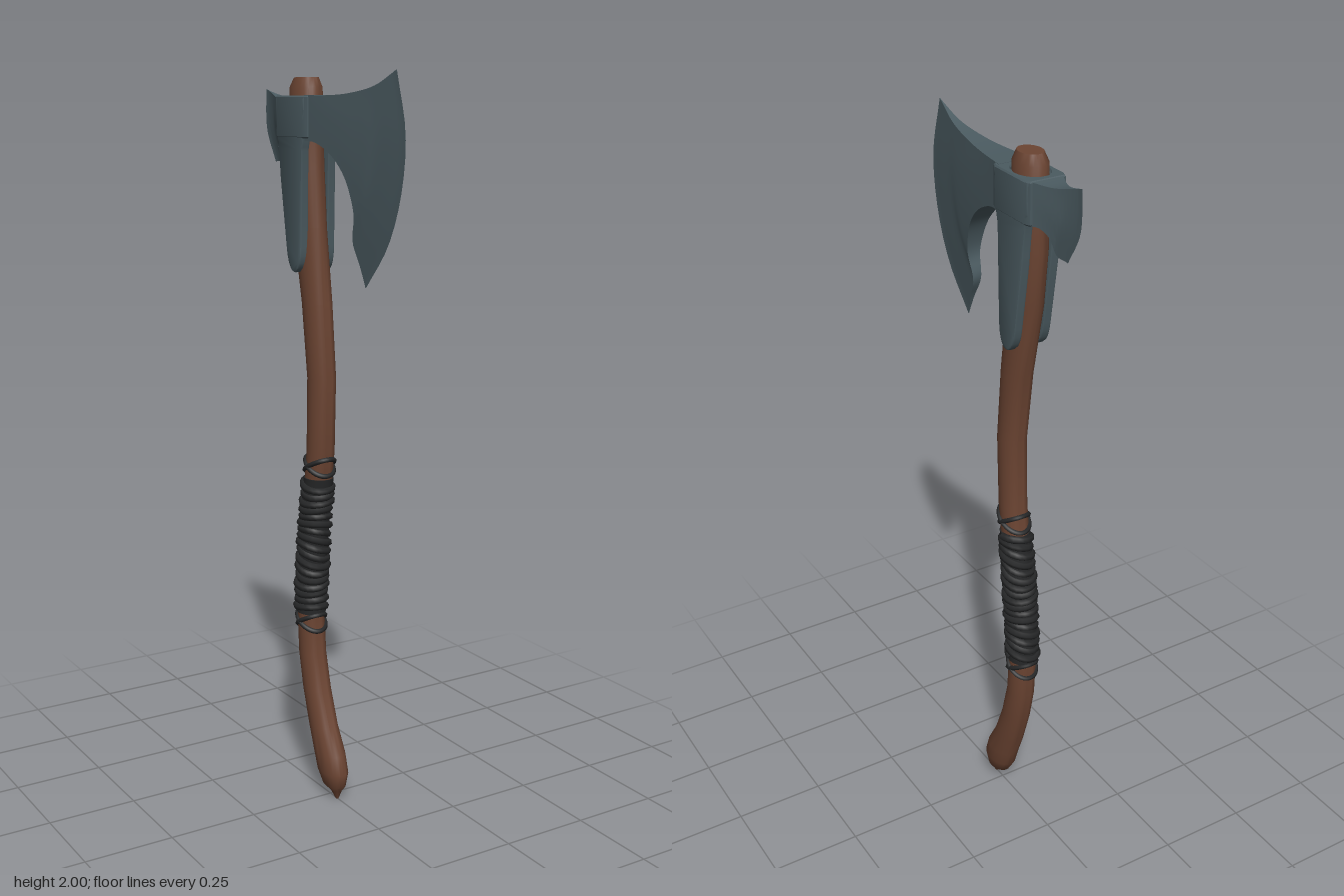
import * as THREE from 'three';
import { toCreasedNormals } from 'three/addons/utils/BufferGeometryUtils.js';

const wood = new THREE.MeshStandardMaterial({ color: 0x6b4432 });
const steel = new THREE.MeshStandardMaterial({ color: 0x4b5b61 });
const leather = new THREE.MeshStandardMaterial({ color: 0x262728 });

// Skin a list of closed rings and cap both ends.
function loft(rings, crease) {
  const pos = [], n = rings[0].length;
  const tri = (...pts) => pts.forEach((p) => pos.push(p.x, p.y, p.z));
  for (let i = 0; i < rings.length - 1; i++) {
    for (let j = 0; j < n; j++) {
      const k = (j + 1) % n, a = rings[i], b = rings[i + 1];
      tri(a[j], b[j], a[k]);
      tri(b[j], b[k], a[k]);
    }
  }
  [rings[0], rings[rings.length - 1]].forEach((r, end) => {
    const c = r.reduce((s, p) => s.add(p), new THREE.Vector3()).divideScalar(n);
    for (let j = 0; j < n; j++) {
      const k = (j + 1) % n;
      if (end) tri(c, r[k], r[j]);
      else tri(c, r[j], r[k]);
    }
  });
  const g = new THREE.BufferGeometry();
  g.setAttribute('position', new THREE.Float32BufferAttribute(pos, 3));
  return toCreasedNormals(g, crease);
}

function add(parent, name, geometry, material) {
  const mesh = new THREE.Mesh(geometry, material);
  mesh.name = name;
  parent.add(mesh);
  return mesh;
}

// Handle sections: y, front z, back z, half width in x.
const SECTIONS = [
  [0, 0.04, 0.03, 0.004], [0.025, 0.05, 0.012, 0.015], [0.04, 0.062, -0.022, 0.028],
  [0.08, 0.07, -0.047, 0.037], [0.13, 0.052, -0.063, 0.039], [0.2, 0.012, -0.09, 0.037],
  [0.3, -0.028, -0.12, 0.037], [0.4, -0.055, -0.14, 0.037], [0.5, -0.064, -0.146, 0.037],
  [0.6, -0.062, -0.144, 0.037], [0.8, -0.042, -0.122, 0.037], [0.92, -0.021, -0.104, 0.037],
  [1.0, -0.01, -0.094, 0.037], [1.2, -0.002, -0.09, 0.037], [1.4, -0.02, -0.118, 0.038],
  [1.6, -0.046, -0.164, 0.039], [1.75, -0.058, -0.18, 0.04], [1.85, -0.066, -0.178, 0.04],
  [1.96, -0.07, -0.175, 0.04], [1.985, -0.082, -0.16, 0.03],
];

function sectionAt(y) {
  const i = Math.max(1, SECTIONS.findIndex((s) => s[0] >= y));
  const a = SECTIONS[i - 1], b = SECTIONS[i];
  return a.map((v, k) => THREE.MathUtils.lerp(v, b[k], (y - a[0]) / (b[0] - a[0])));
}

// Point around the handle at height y, pushed outward by "out".
function onHandle(y, angle, out = 0, lift = 0) {
  const [, front, back, rx] = sectionAt(y);
  return new THREE.Vector3(
    (rx + out) * Math.cos(angle), y + lift,
    (front + back) / 2 + ((front - back) / 2 + out) * Math.sin(angle));
}

function handleRings(heights, out = 0) {
  return heights.map((y) => Array.from({ length: 24 }, (_, j) => onHandle(y, j / 24 * Math.PI * 2, out)));
}

const curve = (pts) => new THREE.CatmullRomCurve3(pts.map(([z, y]) => new THREE.Vector3(0, y, z)));

// Wing of the head between an upper and a lower outline, thinning to a cutting edge.
function wing(upper, lower, edge, half, power, dir) {
  const U = curve(upper), L = curve(lower), E = curve(edge), rings = [];
  const steps = 30, rows = 14;
  for (let i = 0; i <= steps; i++) {
    const t = i / steps, side = [];
    const h = Math.max(0.0008, half * Math.pow(1 - t, power));
    for (let j = 0; j <= rows; j++) {
      const s = j / rows;
      const bulge = E.getPointAt(s).sub(U.getPoint(1).lerp(L.getPoint(1), s));
      side.push(U.getPointAt(t).lerp(L.getPointAt(t), s).addScaledVector(bulge, Math.pow(t, 1.5)));
    }
    const at = (sign) => side.map((p) => new THREE.Vector3(sign * h, p.y, p.z));
    rings.push([...at(dir), ...at(-dir).reverse()]);
  }
  return loft(rings, 0.6);
}

function buildHead() {
  const head = new THREE.Group();
  head.name = 'axeHead';

  // Bearded blade and small rear blade
  add(head, 'blade', wing(
    [[-0.055, 1.94], [0.04, 1.94], [0.12, 1.945], [0.22, 1.963], [0.3, 2.0]],
    [[-0.055, 1.825], [-0.01, 1.822], [0.06, 1.79], [0.11, 1.74], [0.135, 1.68], [0.14, 1.64],
      [0.125, 1.58], [0.15, 1.52], [0.17, 1.465]],
    [[0.3, 2.0], [0.34, 1.85], [0.325, 1.71], [0.27, 1.58], [0.17, 1.465]],
    0.046, 1, 1), steel);
  add(head, 'rearBlade', wing(
    [[-0.178, 1.938], [-0.25, 1.935], [-0.335, 1.955]],
    [[-0.178, 1.83], [-0.215, 1.83], [-0.238, 1.81], [-0.246, 1.77], [-0.285, 1.763]],
    [[-0.335, 1.955], [-0.332, 1.85], [-0.285, 1.763]],
    0.052, 1.6, -1), steel);

  // Eye collar with the opening for the handle
  const outline = [[0.046, 0.04], [0.052, 0.055], [0.052, 0.18], [0.046, 0.195]];
  const ring = new THREE.Shape([
    ...outline, ...outline.map(([x, d]) => [-x, d]).reverse(),
  ].map(([x, d]) => new THREE.Vector2(x, d)));
  const hole = new THREE.Path();
  hole.absellipse(0, 0.122, 0.045, 0.06, 0, Math.PI * 2, true);
  ring.holes.push(hole);
  const collar = new THREE.ExtrudeGeometry(ring, {
    depth: 0.1, bevelSize: 0.003, bevelThickness: 0.004, bevelSegments: 1, curveSegments: 20,
  });
  collar.rotateX(-Math.PI / 2).translate(0, 1.835, 0);
  add(head, 'eyeCollar', toCreasedNormals(collar, 0.5), steel);

  // Long cheek straps down both sides of the handle
  const strap = new THREE.Shape();
  strap.moveTo(-0.05, 1.93);
  strap.quadraticCurveTo(-0.05, 1.85, -0.065, 1.8);
  strap.lineTo(-0.071, 1.55);
  strap.bezierCurveTo(-0.072, 1.465, -0.125, 1.465, -0.136, 1.55);
  strap.lineTo(-0.165, 1.73);
  strap.quadraticCurveTo(-0.175, 1.84, -0.188, 1.86);
  strap.lineTo(-0.188, 1.93);
  const cheek = new THREE.ExtrudeGeometry(strap, {
    depth: 0.014, bevelSize: 0.005, bevelThickness: 0.006, bevelSegments: 2, curveSegments: 10,
  });
  cheek.rotateY(-Math.PI / 2).translate(0.007, 0, 0);
  const cheekGeometry = toCreasedNormals(cheek, 0.7);
  for (const side of [1, -1]) {
    add(head, side > 0 ? 'leftCheek' : 'rightCheek', cheekGeometry, steel).position.x = side * 0.041;
  }
  return head;
}

function buildGrip() {
  const grip = new THREE.Group();
  grip.name = 'grip';
  const heights = Array.from({ length: 11 }, (_, i) => 0.52 + i * 0.04);
  add(grip, 'gripCore', loft(handleRings(heights, 0.003), 0.8), leather);

  // Uneven cord wound down the grip
  const turns = 17, cord = [];
  for (let i = 0; i <= turns * 16; i++) {
    const a = i / 16 * Math.PI * 2, t = i / (turns * 16);
    cord.push(onHandle(0.53 + 0.38 * t, a, 0.0015 + 0.002 * Math.sin(a * 0.37), 0.008 * Math.sin(a + t * 9)));
  }
  add(grip, 'cord', new THREE.TubeGeometry(new THREE.CatmullRomCurve3(cord), turns * 20, 0.0105, 6), leather);

  // Crossed ties above and below the grip
  for (const y of [0.495, 0.955]) {
    for (const slope of [1, -1]) {
      const loop = Array.from({ length: 20 }, (_, i) => {
        const a = i / 20 * Math.PI * 2;
        return onHandle(y + slope * 0.024 * Math.sin(a), a, 0.001);
      });
      add(grip, 'crossTie', new THREE.TubeGeometry(new THREE.CatmullRomCurve3(loop, true), 40, 0.007, 6, true), leather);
    }
  }
  return grip;
}

export function createModel() {
  const axe = new THREE.Group();
  axe.name = 'axe';
  add(axe, 'handle', loft(handleRings(SECTIONS.map((s) => s[0])), 0.75), wood);
  axe.add(buildGrip(), buildHead());
  return axe;
}
